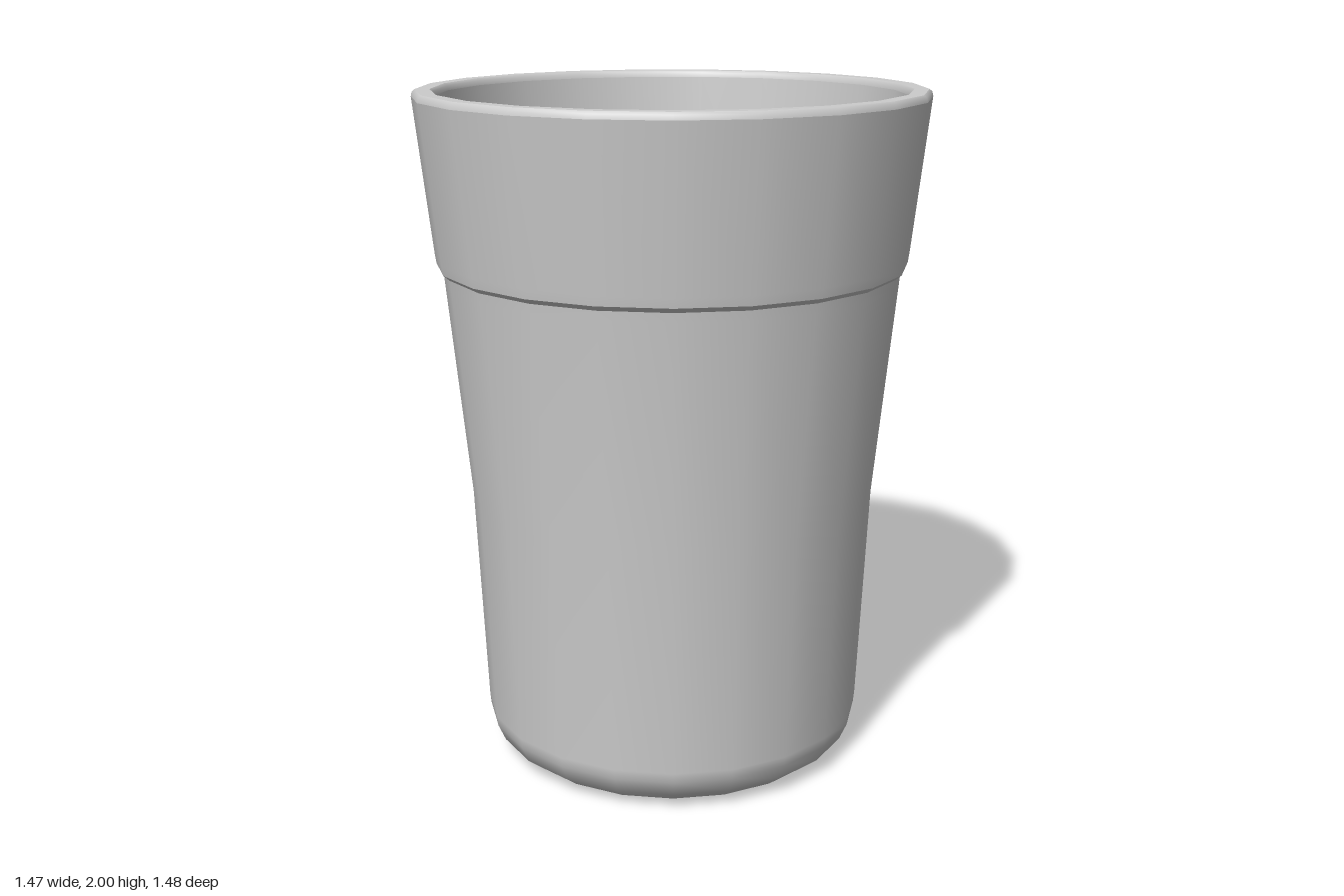
import * as THREE from 'three';

const SIDES = 21;
const material = new THREE.MeshStandardMaterial({ color: 0xcccccc });

// One smooth band of the tumbler, turned from [radius, height] pairs.
// Separate bands keep the edges between them sharp.
function turned(name, profile) {
  const points = profile.map(([r, y]) => new THREE.Vector2(r, y));
  const geometry = new THREE.LatheGeometry(points, SIDES, Math.PI / 2);
  const mesh = new THREE.Mesh(geometry, material);
  mesh.name = name;
  return mesh;
}

export function createModel() {
  const tumbler = new THREE.Group();
  tumbler.name = 'tumbler';

  tumbler.add(
    // Underside and outer wall with rounded foot
    turned('base', [[0, 0], [0.455, 0]]),
    turned('outerWall', [
      [0.455, 0], [0.505, 0.014], [0.55, 0.05], [0.572, 0.1], [0.575, 0.13],
      [0.604, 0.8], [0.667, 1.46], [0.67, 1.488],
    ]),
    // Small step below the thicker drinking band
    turned('bandStep', [[0.67, 1.488], [0.688, 1.503]]),
    turned('drinkingBand', [[0.688, 1.503], [0.692, 1.53], [0.741, 1.98]]),
    // Bevelled rim
    turned('rimOuterBevel', [[0.741, 1.98], [0.738, 1.993], [0.73, 2]]),
    turned('rimTop', [[0.73, 2], [0.688, 2]]),
    turned('rimInnerBevel', [[0.688, 2], [0.68, 1.993], [0.677, 1.98]]),
    // Hollow inside
    turned('innerWall', [[0.677, 1.98], [0.63, 1.5], [0.575, 0.8], [0.547, 0.1]]),
    turned('innerFloor', [[0.547, 0.1], [0, 0.1]]),
  );

  // An odd number of sides is slightly wider on one side, so recentre
  tumbler.children.forEach((mesh) => mesh.geometry.translate(-0.004, 0, 0));
  return tumbler;
}
